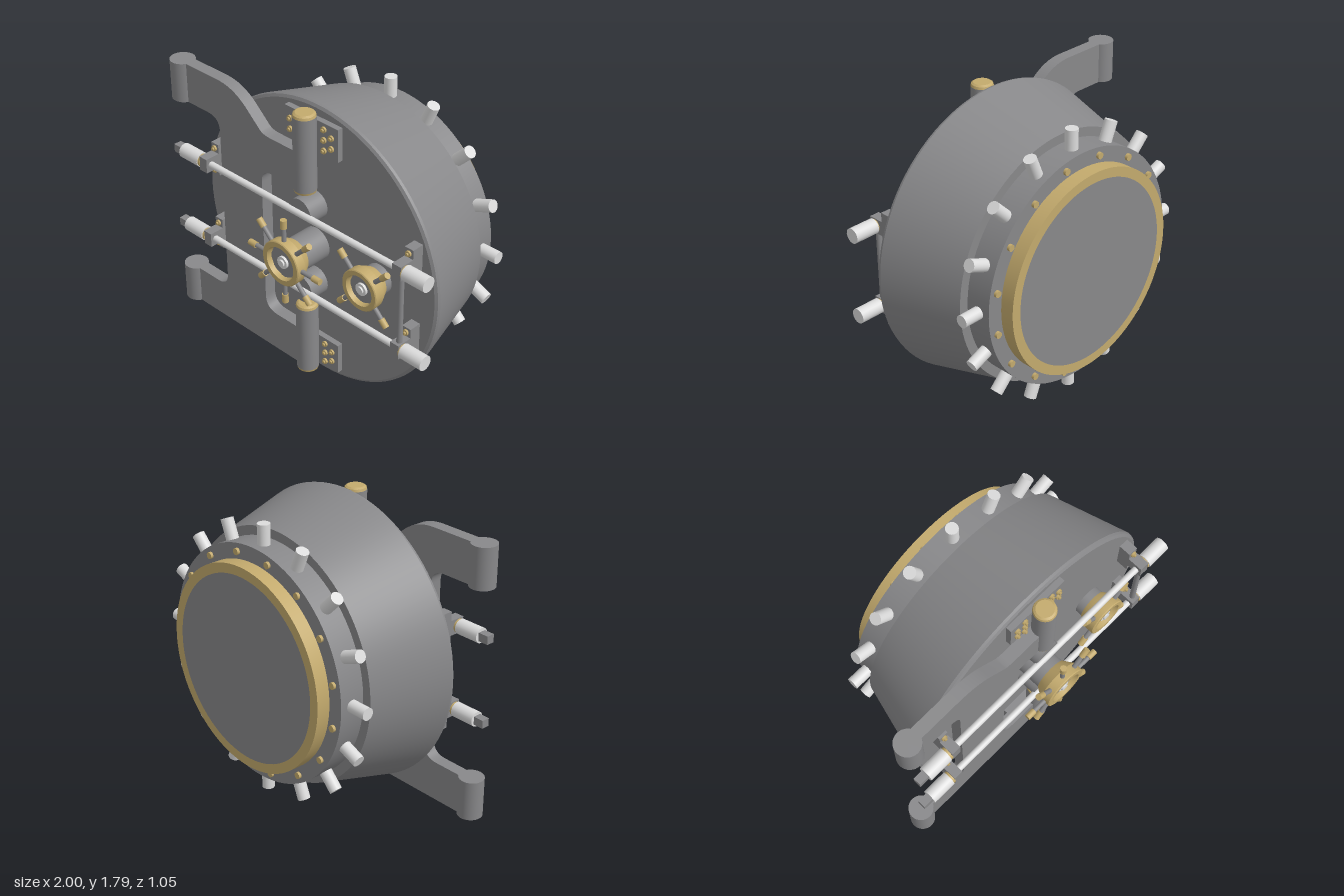
import * as THREE from 'three';
import { toCreasedNormals } from 'three/addons/utils/BufferGeometryUtils.js';

const material = (name, color) => {
  const m = new THREE.MeshStandardMaterial({ color });
  m.name = name;
  return m;
};

export function createModel() {
  const steel = material('steel grey', 0x88888a);
  const brass = material('brass', 0xc3aa6d);
  const polished = material('polished steel', 0xdcdcdc);
  const model = new THREE.Group();
  model.name = 'vaultDoor';
  const CX = 0.06, CY = 0.9;

  const add = (name, geometry, mat, x = 0, y = 0, z = 0, parent = model) => {
    const mesh = new THREE.Mesh(geometry, mat);
    mesh.name = name;
    mesh.position.set(x, y, z);
    parent.add(mesh);
    return mesh;
  };
  const group = (name, x, y, z) => {
    const g = new THREE.Group();
    g.name = name;
    g.position.set(x, y, z);
    model.add(g);
    return g;
  };
  // Profile [radius, height] turned around y, or around z when facing front
  const turned = (profile, front = true, segments = 64) => {
    const g = toCreasedNormals(
      new THREE.LatheGeometry(profile.map(p => new THREE.Vector2(...p)), segments), 0.5);
    return front ? g.rotateX(Math.PI / 2) : g;
  };
  const rod = (r, from, to, axis = 'y', segments = 24) => {
    const g = new THREE.CylinderGeometry(r, r, to - from, segments).translate(0, (from + to) / 2, 0);
    if (axis === 'x') g.rotateZ(-Math.PI / 2);
    if (axis === 'z') g.rotateX(Math.PI / 2);
    return g;
  };
  const box = (x0, x1, y0, y1, z0, z1) =>
    new THREE.BoxGeometry(x1 - x0, y1 - y0, z1 - z0)
      .translate((x0 + x1) / 2, (y0 + y1) / 2, (z0 + z1) / 2);
  const boltHead = (x, y, z, parent = model) => {
    add('boltWasher', rod(0.018, 0, 0.012, 'z', 12), brass, x, y, z, parent);
    add('boltHead', rod(0.01, 0, 0.022, 'z', 6), brass, x, y, z, parent);
  };

  // Tapered plug with its stepped rear flange
  add('doorBody', turned([[0, -0.44], [0.71, -0.44], [0.71, -0.28], [0.765, -0.28], [0.895, 0.21],
    [0.891, 0.225], [0.875, 0.235], [0, 0.235]], true, 96), steel, CX, CY);
  add('rearRing', turned([[0.56, -0.525], [0.618, -0.525], [0.618, -0.44]], true, 96), brass, CX, CY);
  add('rearPlate', turned([[0, -0.525], [0.56, -0.525]], true, 96), steel, CX, CY);

  // Locking pins around the flange and bolts between them
  for (let i = 0; i < 16; i++) {
    const a = i * Math.PI / 8, b = a + Math.PI / 16;
    add('lockingPin', rod(0.037, 0.68, 0.83), polished, CX, CY, -0.36).rotation.z = a;
    add('rearBolt', rod(0.02, -0.457, -0.435, 'z', 12), brass,
      CX + 0.663 * Math.cos(b), CY + 0.663 * Math.sin(b));
  }

  // Crane arm
  const s = new THREE.Shape();
  s.moveTo(-0.93, 1.735);
  s.lineTo(-0.6, 1.735);
  s.bezierCurveTo(-0.5, 1.735, -0.43, 1.7, -0.37, 1.65);
  s.lineTo(-0.26, 1.55);
  s.quadraticCurveTo(-0.235, 1.53, -0.18, 1.53);
  s.lineTo(0.06, 1.53);
  s.lineTo(0.06, 1.3);
  s.lineTo(-0.17, 1.3);
  s.quadraticCurveTo(-0.26, 1.3, -0.26, 1.21);
  s.lineTo(-0.26, 0.42);
  s.quadraticCurveTo(-0.26, 0.325, -0.165, 0.325);
  s.lineTo(0.06, 0.325);
  s.lineTo(0.06, 0.065);
  s.lineTo(-0.93, 0.065);
  s.lineTo(-0.93, 0.31);
  s.lineTo(-0.69, 0.31);
  s.quadraticCurveTo(-0.595, 0.31, -0.595, 0.4);
  s.lineTo(-0.595, 1.4);
  s.quadraticCurveTo(-0.595, 1.49, -0.69, 1.49);
  s.lineTo(-0.93, 1.49);
  add('craneArm', toCreasedNormals(
    new THREE.ExtrudeGeometry(s, { depth: 0.075, bevelEnabled: false, curveSegments: 10 }), 0.5),
  steel, 0, 0, 0.27);
  for (const [y0, y1] of [[0.065, 0.31], [1.49, 1.735]])
    add('wallHingeBarrel', rod(0.075, y0, y1, 'y', 32), steel, -0.925, 0, 0.312);

  // Door hinges with brass end caps
  for (const [y0, y1] of [[1.285, 1.783], [0.042, 0.528]]) {
    const hinge = group('doorHinge', CX, 0, 0.318);
    add('hingeBarrel', rod(0.066, y0 + 0.022, y1 - 0.022, 'y', 32), steel, 0, 0, 0, hinge);
    add('hingeTopCap', turned([[0.066, y1 - 0.022], [0.062, y1 - 0.008], [0.05, y1], [0, y1]], false, 32),
      brass, 0, 0, 0, hinge);
    add('hingeBottomCap', turned([[0, y0], [0.05, y0], [0.062, y0 + 0.008], [0.066, y0 + 0.022]], false, 32),
      brass, 0, 0, 0, hinge);
  }
  for (const y of [1.63, 0.18]) {
    add('hingePlate', box(-0.14, 0.26, y - 0.1, y + 0.1, 0.23, 0.27), steel);
    for (const side of [-1, 1])
      [[0.1, 0.065], [0.155, 0.033], [0.1, 0], [0.155, -0.033], [0.1, -0.065]].forEach(([dx, dy]) =>
        boltHead(CX + side * dx, y + dy, 0.27));
  }

  // Horizontal bolt bars with brackets, sleeves and pivot discs
  for (const y of [1.165, 0.645]) {
    const bar = group('boltBar', 0, y, 0.37);
    add('barRod', rod(0.02, -0.75, 0.86, 'x'), polished, 0, 0, 0, bar);
    add('leftSleeve', rod(0.045, 0.848, 1, 'x'), polished, 0, 0, 0, bar);
    add('leftCollar', rod(0.04, 0.838, 0.85, 'x'), brass, 0, 0, 0, bar);
    add('rightSleeve', rod(0.045, -0.89, -0.735, 'x'), polished, 0, 0, 0, bar);
    add('rightCollar', rod(0.04, -0.737, -0.718, 'x'), brass, 0, 0, 0, bar);
    add('barTip', box(-0.955, -0.885, -0.025, 0.025, -0.025, 0.025), steel, 0, 0, 0, bar);
    for (const x of [-0.69, 0.81]) {
      add('bracketBase', box(x - 0.03, x + 0.03, -0.103, 0.103, -0.14, -0.06), steel, 0, 0, 0, bar);
      add('bracketHead', box(x - 0.03, x + 0.03, -0.045, 0.045, -0.06, 0.035), steel, 0, 0, 0, bar);
      for (const dy of [-0.073, 0.073]) boltHead(x, dy, -0.06, bar);
    }
    add('pivotDisc', rod(0.086, -0.14, -0.005, 'z', 40), steel, CX, 0, 0, bar);
  }
  add('tieRod', rod(0.017, 0.645, 1.165), steel, 0.815, 0, 0.37);

  // Handwheels: shaft, flared brass rim, recessed centre, hub and spokes
  const handwheel = (x, z, r, length, count, start) => {
    const wheel = group('handwheel', x, CY, z);
    const neck = r * 0.72;
    add('wheelShaft', rod(neck, 0.23 - z, -0.11, 'z', 40), steel, 0, 0, 0, wheel);
    add('wheelRim', turned([[0, -0.12], [neck + 0.003, -0.12], [r, -0.06], [r, -0.005], [r - 0.005, 0],
      [r * 0.75, 0], [r * 0.7, -0.035]], true, 40), brass, 0, 0, 0, wheel);
    add('wheelCentre', rod(r * 0.74, -0.06, -0.03, 'z', 8), steel, 0, 0, 0, wheel);
    add('wheelHub', rod(0.038, -0.035, -0.015, 'z', 20), polished, 0, 0, 0, wheel);
    add('wheelHubTip', rod(0.022, -0.015, -0.004, 'z', 16), polished, 0, 0, 0, wheel);
    for (let i = 0; i < count; i++) {
      const spoke = new THREE.Group();
      spoke.name = 'spoke';
      spoke.position.z = -0.035;
      spoke.rotation.z = start + i * 2 * Math.PI / count;
      wheel.add(spoke);
      add('spokeRod', rod(0.014, r * 0.8, length - 0.04, 'y', 14), steel, 0, 0, 0, spoke);
      add('spokeGrip', rod(0.019, length - 0.055, length, 'y', 14), brass, 0, 0, 0, spoke);
    }
  };
  handwheel(CX, 0.523, 0.14, 0.278, 8, 0);
  handwheel(0.54, 0.4, 0.126, 0.247, 4, Math.PI / 4);

  return model;
}
